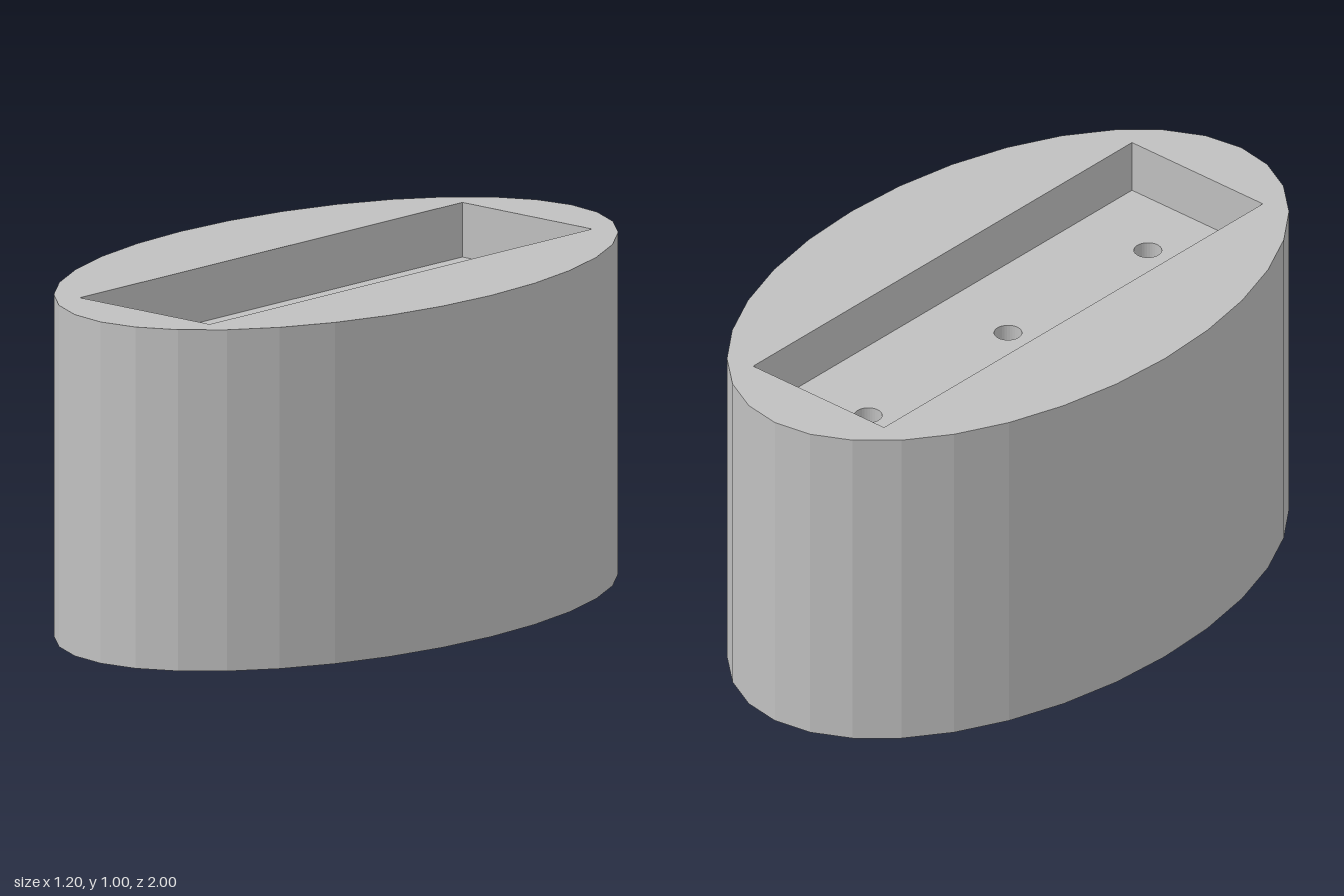
import * as THREE from 'three';

const HEIGHT = 1, FLOOR = 0.84, HOLE_R = 0.04;
const HOLE_Z = [-0.6, 0, 0.6];

// Counter-clockwise ellipse outline in plan
function ellipse(rx, ry, n, cy = 0) {
  return Array.from({ length: n }, (_, i) => {
    const a = (i / n) * Math.PI * 2;
    return new THREE.Vector2(rx * Math.cos(a), cy + ry * Math.sin(a));
  });
}

// Flat horizontal face with holes, facing up or down
function cap(outline, holes, y, up) {
  const shape = new THREE.Shape(outline);
  shape.holes = holes.map((h) => new THREE.Path(h));
  const g = new THREE.ShapeGeometry(shape);
  g.rotateX(up ? -Math.PI / 2 : Math.PI / 2);
  return g.translate(0, y, 0);
}

// Vertical wall along an outline, facing outward or inward
function wall(outline, y0, y1, inward) {
  const pos = [];
  outline.forEach((p, i) => {
    const q = outline[(i + 1) % outline.length];
    const [a, b] = inward ? [q, p] : [p, q];
    const A = [a.x, y0, -a.y], B = [b.x, y0, -b.y];
    const C = [b.x, y1, -b.y], D = [a.x, y1, -a.y];
    pos.push(...A, ...B, ...C, ...A, ...C, ...D);
  });
  const g = new THREE.BufferGeometry();
  g.setAttribute('position', new THREE.Float32BufferAttribute(pos, 3));
  g.computeVertexNormals();
  return g;
}

export function createModel() {
  const grey = new THREE.MeshStandardMaterial({ color: 0xc0c0c0, flatShading: true });
  grey.name = 'grey';
  const model = new THREE.Group();
  model.name = 'ovalBlock';
  const add = (name, geometry) => {
    const mesh = new THREE.Mesh(geometry, grey);
    mesh.name = name;
    model.add(mesh);
  };

  const oval = ellipse(0.6, 1, 32);
  const pocket = [[0.25, -0.8125], [0.25, 0.8125], [-0.25, 0.8125], [-0.25, -0.8125]]
    .map(([x, y]) => new THREE.Vector2(x, y));
  const holes = HOLE_Z.map((z) => ellipse(HOLE_R, HOLE_R, 32, -z));

  // Oval body
  add('outerWall', wall(oval, 0, HEIGHT, false));
  add('topRim', cap(oval, [pocket], HEIGHT, true));
  add('underside', cap(oval, holes, 0, false));

  // Rectangular recess
  add('recessWalls', wall(pocket, FLOOR, HEIGHT, true));
  add('recessFloor', cap(pocket, holes, FLOOR, true));

  // Drilled through holes
  holes.forEach((h, i) => add(`throughHole${i + 1}`, wall(h, 0, FLOOR, true)));

  return model;
}
